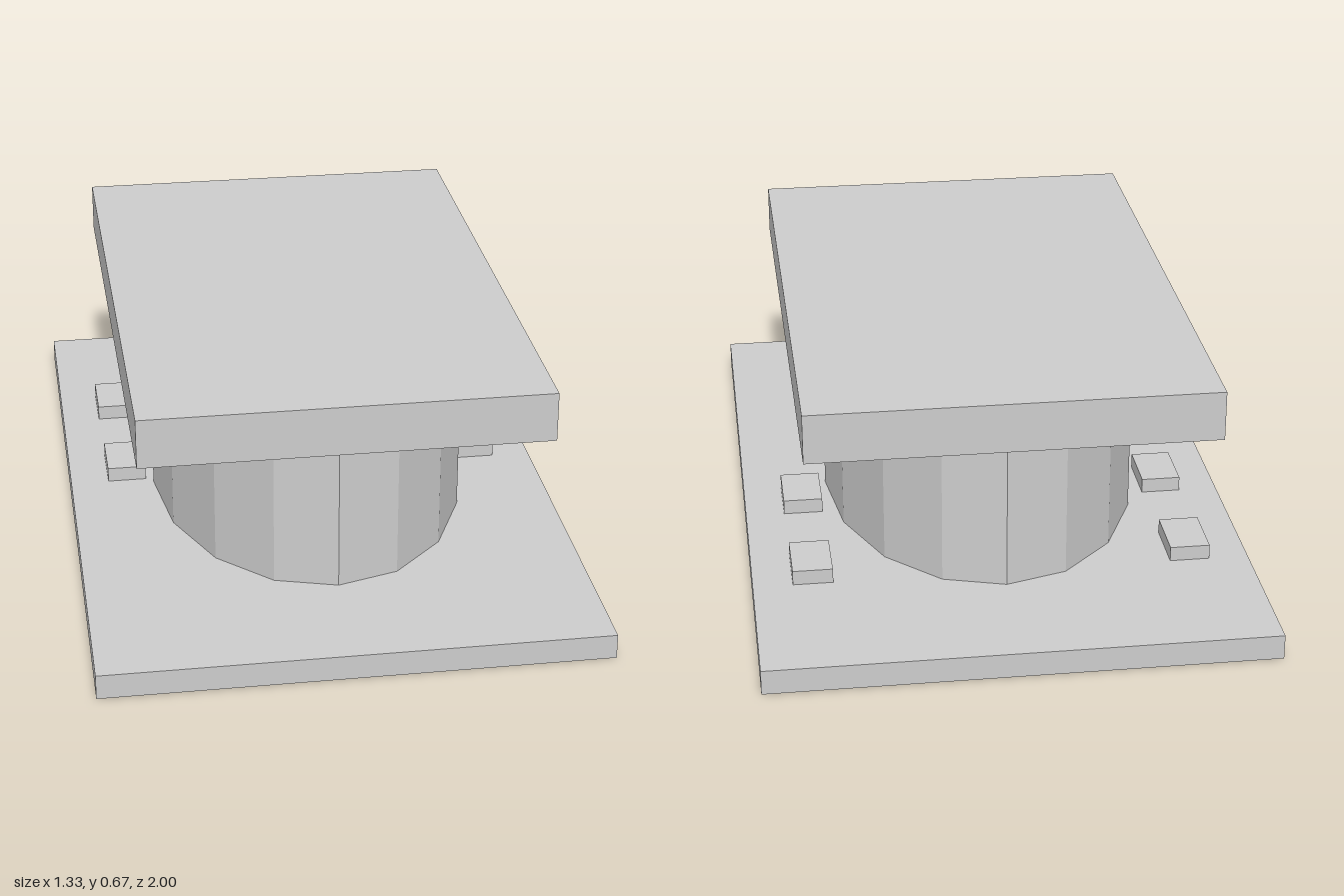
import * as THREE from 'three';

export function createModel() {
  const model = new THREE.Group();
  const grey = new THREE.MeshStandardMaterial({ color: 0xcccccc, flatShading: true });
  grey.name = 'light grey';

  const add = (name, geometry, x, y, z) => {
    const mesh = new THREE.Mesh(geometry, grey);
    mesh.name = name;
    mesh.position.set(x, y, z);
    model.add(mesh);
    return mesh;
  };

  // Slabs below and above the column
  add('basePlate', new THREE.BoxGeometry(1.333, 0.067, 2), 0, 0.0335, 0);
  add('topSlab', new THREE.BoxGeometry(1.067, 0.133, 1.6), 0, 0.6, 0);

  // Sixteen-sided oval column
  const column = new THREE.CylinderGeometry(1, 1, 0.467, 16);
  column.scale(0.433, 1, 0.65);
  add('column', column, 0, 0.3, 0);

  // Small blocks in pairs along both long edges
  const block = new THREE.BoxGeometry(0.107, 0.04, 0.16);
  for (const side of [1, -1]) {
    for (const z of [-0.1, -0.5]) {
      add(side > 0 ? 'leftBlock' : 'rightBlock', block, side * 0.507, 0.087, z);
    }
  }

  return model;
}
